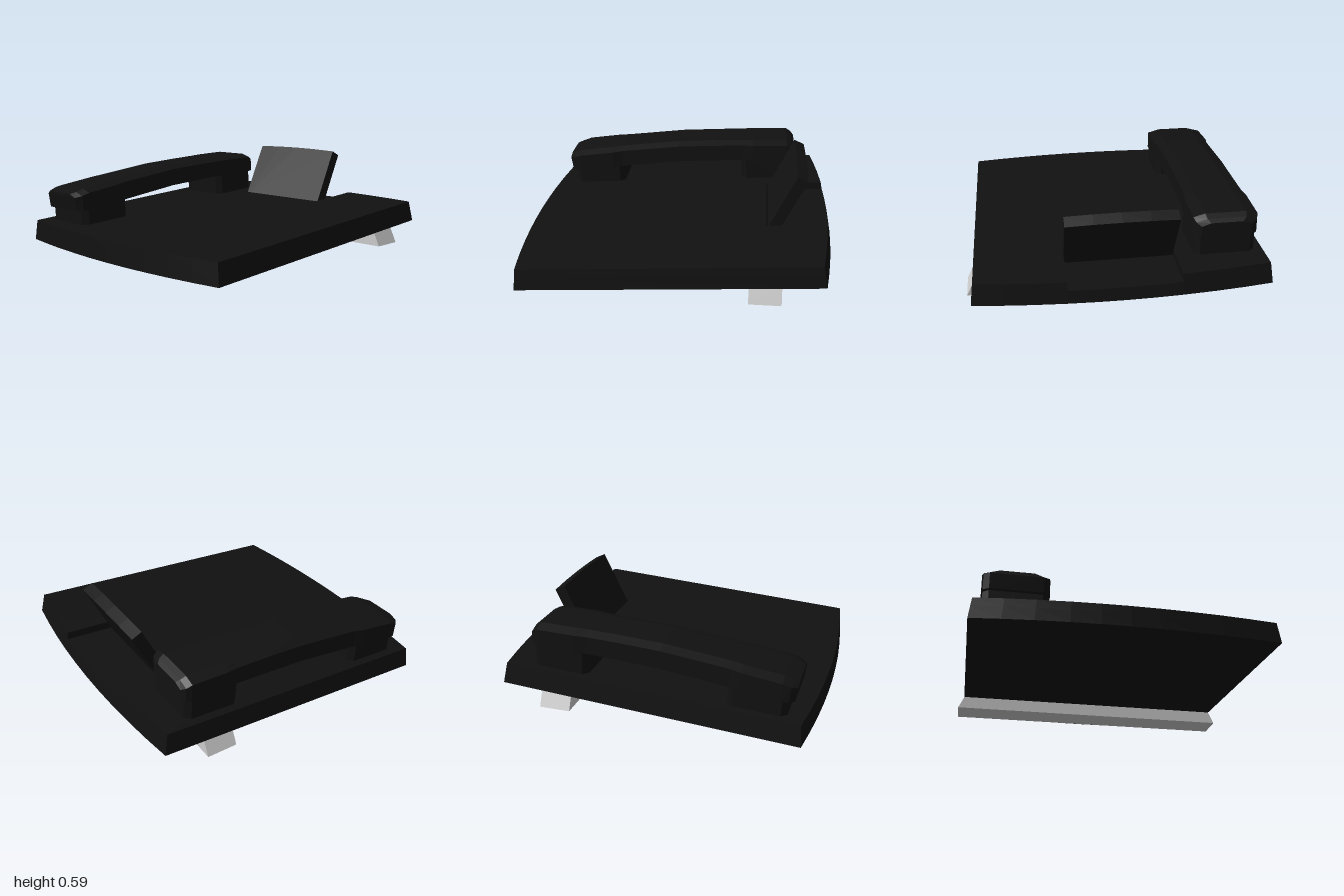
import * as THREE from 'three';

const black = new THREE.MeshStandardMaterial({ color: 0x111111, flatShading: true });
const grey = new THREE.MeshStandardMaterial({ color: 0xcccccc, flatShading: true });

function mesh(name, geometry, material = black) {
  const m = new THREE.Mesh(geometry, material);
  m.name = name;
  return m;
}

function extrude(points, depth) {
  const shape = new THREE.Shape(points.map(([x, y]) => new THREE.Vector2(x, y)));
  return new THREE.ExtrudeGeometry(shape, { depth, bevelEnabled: false });
}

// Plan outline raised from y0 to y1
function plate(points, y0, y1) {
  return extrude(points, y1 - y0).rotateX(-Math.PI / 2).translate(0, y0, 0);
}

// Draws the walls in slightly towards the top of the base
function taper(geometry) {
  const p = geometry.attributes.position;
  for (let i = 0; i < p.count; i++) {
    const s = 1 - 0.14 * p.getY(i);
    p.setX(i, p.getX(i) * s);
    p.setZ(i, p.getZ(i) * s);
  }
  geometry.computeVertexNormals();
  return geometry;
}

// Bowed right-hand edge, x as a function of z
const bow = z => 1 - 0.065 * (z / 0.9) ** 2;
const zSteps = [-0.9, -0.72, -0.54, -0.345, -0.17, 0, 0.17, 0.345, 0.54, 0.72, 0.9];

// Base outline, optionally with the screen recess cut into the right edge
function baseOutline(notched) {
  const right = [];
  for (const z of zSteps) {
    if (notched && Math.abs(z) < 0.3) continue;
    right.push([bow(z), z]);
    if (notched && z === -0.345) right.push([0.6, -0.345], [0.6, 0.345]);
  }
  const left = [...zSteps].reverse().map(z => [-bow(z), z]);
  return [...right, ...left];
}

// Block with cut corners that carries one end of the handset
function cradle(x0, x1, height) {
  const c = 0.035, a = 0.45, b = 0.83;
  const outline = [
    [x0 + c, a], [x1 - c, a], [x1, a + c], [x1, b - c],
    [x1 - c, b], [x0 + c, b], [x0, b - c], [x0, a + c],
  ];
  return plate(outline, 0.1, height);
}

// Arched handset lofted along x: [top x, bottom x, top y, bottom y, half width]
function handsetGeometry() {
  const sections = [
    [-0.885, -0.87, 0.35, 0.238, 0.155],
    [-0.85, -0.84, 0.362, 0.243, 0.19],
    [-0.8, -0.8, 0.38, 0.247, 0.198],
    [-0.56, -0.56, 0.414, 0.276, 0.198],
    [-0.49, -0.49, 0.424, 0.285, 0.185],
    [-0.07, -0.07, 0.475, 0.34, 0.185],
    [0.2, 0.2, 0.492, 0.358, 0.185],
    [0.4, 0.4, 0.502, 0.371, 0.188],
    [0.47, 0.47, 0.506, 0.374, 0.198],
    [0.71, 0.72, 0.513, 0.383, 0.198],
    [0.745, 0.75, 0.495, 0.384, 0.185],
    [0.765, 0.768, 0.475, 0.385, 0.155],
  ];
  const rings = sections.map(([xt, xb, yt, yb, w]) => [
    [xt, yt - 0.02, w], [xb, yb, w], [xb, yb, -w],
    [xt, yt - 0.02, -w], [xt, yt, -0.64 * w], [xt, yt, 0.64 * w],
  ]);
  const pos = [];
  const tri = (...corners) => corners.forEach(c => pos.push(...c));
  for (let s = 0; s < rings.length - 1; s++) {
    const a = rings[s], b = rings[s + 1];
    for (let i = 0; i < 6; i++) {
      const j = (i + 1) % 6;
      tri(a[i], a[j], b[i]);
      tri(a[j], b[j], b[i]);
    }
  }
  const first = rings[0], last = rings[rings.length - 1];
  for (let i = 1; i < 5; i++) {
    tri(first[0], first[i + 1], first[i]);
    tri(last[0], last[i], last[i + 1]);
  }
  const g = new THREE.BufferGeometry();
  g.setAttribute('position', new THREE.Float32BufferAttribute(pos, 3));
  g.computeVertexNormals();
  return g.translate(0, 0, -0.64);
}

// Upright leaning panel with a gently bowed top edge
function screenGeometry() {
  const L = 0.4;
  const g = extrude([
    [-0.34, 0], [0.34, 0], [0.34, L], [0.17, L + 0.006],
    [0, L + 0.008], [-0.17, L + 0.006], [-0.34, L],
  ], 0.073);
  const angle = THREE.MathUtils.degToRad(64.4);
  const x = new THREE.Vector3(0, 0, 1);
  const y = new THREE.Vector3(Math.cos(angle), Math.sin(angle), 0);
  const z = new THREE.Vector3().crossVectors(x, y);
  return g.applyMatrix4(new THREE.Matrix4().makeBasis(x, y, z).setPosition(0.65, 0.19, 0));
}

export function createModel() {
  const phone = new THREE.Group();
  phone.name = 'deskPhone';

  // Tilted base with the handset cradles
  const base = new THREE.Group();
  base.name = 'base';
  base.position.y = 0.069;
  base.rotation.z = 0.067;
  base.add(
    mesh('baseLower', taper(plate(baseOutline(false), 0, 0.08))),
    mesh('baseUpper', taper(plate(baseOutline(true), 0.08, 0.132))),
    mesh('lowerCradle', cradle(-0.825, -0.465, 0.245)),
    mesh('upperCradle', cradle(0.405, 0.765, 0.28)),
  );
  phone.add(base);

  phone.add(mesh('handset', handsetGeometry()));
  phone.add(mesh('screen', screenGeometry()));

  // Support bar with splayed ends under the raised side
  const bar = extrude([[-0.937, 0.02], [0.937, 0.02], [0.888, 0.125], [-0.888, 0.125]], 0.195);
  bar.rotateY(Math.PI / 2).translate(0.48, 0, 0);
  phone.add(mesh('supportBar', bar, grey));

  return phone;
}
